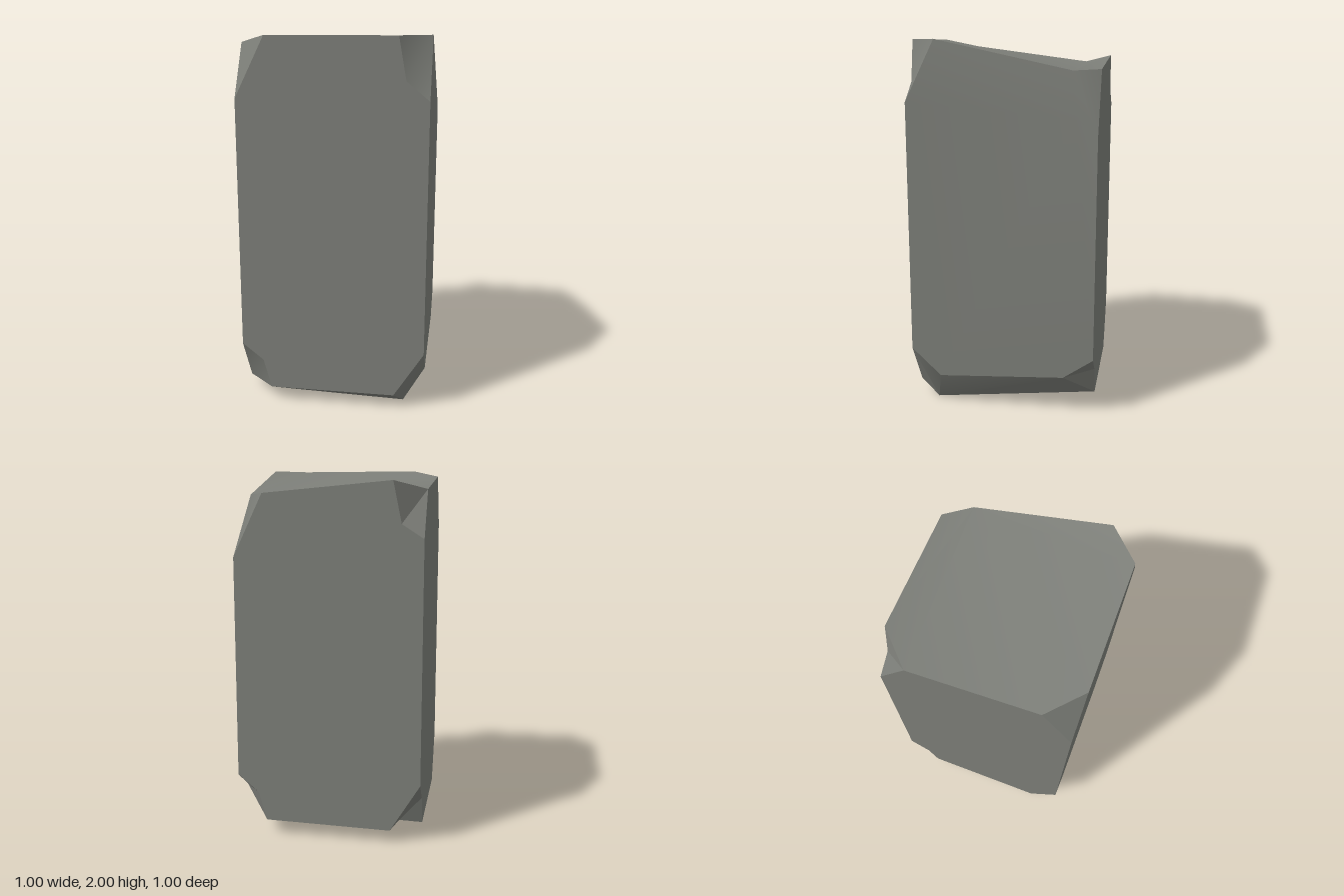
import * as THREE from 'three';
import { toCreasedNormals } from 'three/addons/utils/BufferGeometryUtils.js';

const H = 0.5; // half width of the block

// Each chipped corner, keyed by its x, y, z signs:
//   v: height of the chip on the upright edge
//   z: [distance along x, height] on the front/back face, x: [distance along z, height] on the side face
//   ez, ex: extra chip point on that face; cap: [x, y, z] extra point inside the top or bottom
const CHIPS = [
  { s: [1, 1, 1], v: 1.68, z: [0.34, 2], x: [0.34, 2], ez: [0.38, 1.78] },
  { s: [1, 1, -1], v: 1.52, z: [0.34, 1.85], x: [0.39, 1.61], cap: [0.44, 1.845, 0.365] },
  { s: [-1, 1, -1], v: 1.62, z: [0.34, 1.91], x: [0.34, 1.87], ez: [0.385, 1.695] },
  { s: [-1, 1, 1], v: 1.68, z: [0.34, 2], x: [0.34, 1.96] },
  { s: [1, -1, 1], v: 0.33, z: [0.34, 0.08], x: [0.34, 0.18], cap: [0.385, 0, 0.385] },
  { s: [1, -1, -1], v: 0.33, z: [0.34, 0.08], x: [0.34, 0.22], ez: [0.385, 0.235] },
  { s: [-1, -1, -1], v: 0.33, z: [0.34, 0.07], x: [0.34, 0.065], ex: [0.39, 0.225], cap: [0.375, 0.078, 0.365] },
  { s: [-1, -1, 1], v: 0.33, z: [0.34, 0.08], x: [0.34, 0.07], ez: [0.385, 0.24] },
];

// Turn the chip measurements into points
function makeCorner({ s, v, z, x, ez, ex, cap }) {
  const at = (px, y, pz) => new THREE.Vector3(s[0] * px, y, s[2] * pz);
  return {
    s,
    v: at(H, v, H),
    z: at(z[0], z[1], H),
    x: at(H, x[1], x[0]),
    ez: ez && at(ez[0], ez[1], H),
    ex: ex && at(H, ex[1], ex[0]),
    cap: cap && at(...cap),
  };
}

function rockGeometry() {
  const corners = CHIPS.map(makeCorner);
  const corner = (sx, sy, sz) => corners.find(({ s }) => s[0] === sx && s[1] === sy && s[2] === sz);
  const positions = [];

  // Add a triangle so that it faces the outward direction
  const addTriangle = (a, b, c, outward) => {
    const normal = b.clone().sub(a).cross(c.clone().sub(a));
    const points = normal.dot(outward) >= 0 ? [a, b, c] : [a, c, b];
    for (const p of points) positions.push(p.x, p.y, p.z);
  };

  // Fan a loop of points from a pivot in that loop
  const addFan = (loop, pivot, outward) => {
    const start = loop.indexOf(pivot);
    const ring = [...loop.slice(start + 1), ...loop.slice(0, start)];
    for (let i = 0; i < ring.length - 1; i++) addTriangle(pivot, ring[i], ring[i + 1], outward);
  };

  // Chipped corners
  for (const c of corners) {
    const loop = [c.z, c.ez, c.v, c.ex, c.x, c.cap].filter(Boolean);
    addFan(loop, c.cap || c.ez || c.z, new THREE.Vector3(...c.s));
  }

  // Four flat upright sides
  for (const axis of ['x', 'z']) {
    const across = axis === 'x' ? 'z' : 'x';
    for (const side of [-1, 1]) {
      const get = (u, sy) => (axis === 'x' ? corner(side, sy, u) : corner(u, sy, side));
      const run = (u, sy) => {
        const c = get(u, sy);
        return [c[axis], c['e' + axis], c.v].filter(Boolean);
      };
      const loop = [
        ...run(-1, -1).reverse(), ...run(1, -1),
        ...run(1, 1).reverse(), ...run(-1, 1),
      ];
      const outline = loop.map((p) => new THREE.Vector2(p[across], p.y));
      const outward = new THREE.Vector3();
      outward[axis] = side;
      for (const [a, b, c] of THREE.ShapeUtils.triangulateShape(outline, [])) {
        addTriangle(loop[a], loop[b], loop[c], outward);
      }
    }
  }

  // Uneven top and bottom, each fanned from its main knob
  for (const [sy, pivot] of [[1, corner(1, 1, -1).cap], [-1, corner(1, -1, 1).cap]]) {
    const loop = [[1, 1], [1, -1], [-1, -1], [-1, 1]].flatMap(([sx, sz]) => {
      const c = corner(sx, sy, sz);
      const points = [c.z, c.cap, c.x].filter(Boolean);
      return sx * sz > 0 ? points : points.reverse();
    });
    addFan(loop, pivot, new THREE.Vector3(0, sy, 0));
  }

  const geometry = new THREE.BufferGeometry();
  geometry.setAttribute('position', new THREE.Float32BufferAttribute(positions, 3));
  return toCreasedNormals(geometry, 0.5);
}

export function createModel() {
  const group = new THREE.Group();
  group.name = 'stoneBlock';
  const stone = new THREE.MeshStandardMaterial({ color: 0x7d7f79 });
  stone.name = 'stone grey';
  const block = new THREE.Mesh(rockGeometry(), stone);
  block.name = 'chippedStone';
  group.add(block);
  return group;
}
